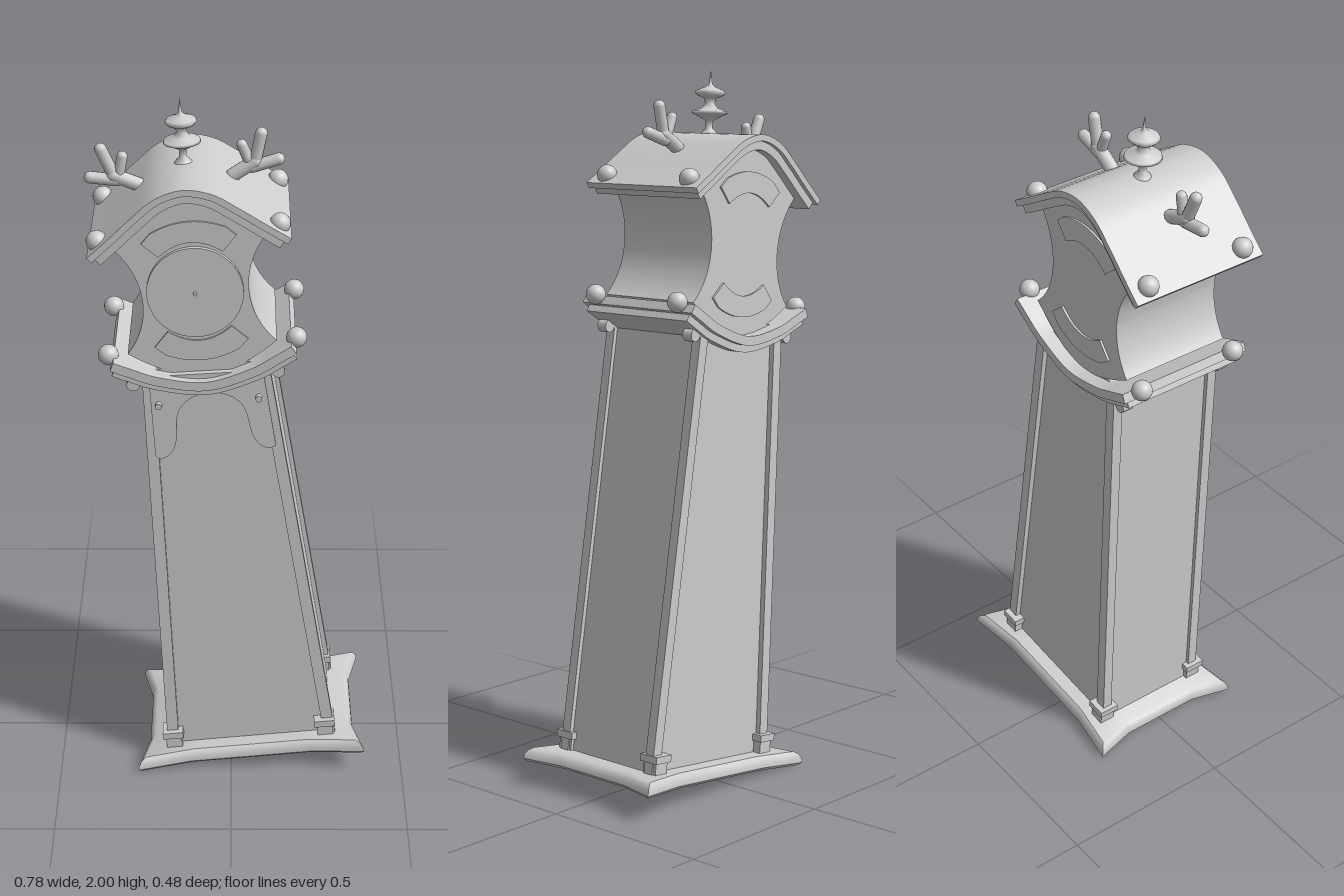
import * as THREE from 'three';
import { toCreasedNormals } from 'three/addons/utils/BufferGeometryUtils.js';

const grey = new THREE.MeshStandardMaterial({ color: 0xcccccc });
grey.name = 'plain grey';
const TILT = 0.105;

function add(parent, name, geometry, x = 0, y = 0, z = 0) {
  const mesh = new THREE.Mesh(geometry, grey);
  mesh.name = name;
  mesh.position.set(x, y, z);
  parent.add(mesh);
  return mesh;
}

// Flat outline extruded between two depths
function slab(parent, name, shape, z0, z1) {
  const geo = new THREE.ExtrudeGeometry(shape, { depth: z1 - z0, bevelEnabled: false, curveSegments: 24 });
  return add(parent, name, toCreasedNormals(geo, 0.5), 0, 0, z0);
}

const polygon = (pts) => new THREE.Shape(pts.map(([x, y]) => new THREE.Vector2(x, y)));

// Left half of a symmetrical curve, completed by mirroring and sampled smoothly
function mirroredCurve(half, n = 40) {
  const right = half.slice(0, -1).reverse().map(([x, y]) => [-x, y]);
  return new THREE.SplineCurve([...half, ...right].map(([x, y]) => new THREE.Vector2(x, y))).getPoints(n);
}

// Band lying between two offsets below a curve
function band(curve, a, b) {
  const offset = (d) => curve.map((p, i) => {
    const t = curve[Math.min(i + 1, curve.length - 1)].clone().sub(curve[Math.max(i - 1, 0)]).normalize();
    return new THREE.Vector2(p.x + t.y * d, p.y - t.x * d);
  });
  return new THREE.Shape([...offset(a), ...offset(b).reverse()]);
}

// Rounded bar between two points in the xy plane
function bar(parent, name, [x0, y0], [x1, y1], r) {
  const m = add(parent, name, new THREE.CapsuleGeometry(r, Math.hypot(x1 - x0, y1 - y0), 5, 12),
    (x0 + x1) / 2, (y0 + y1) / 2, 0);
  m.rotation.z = Math.atan2(y1 - y0, x1 - x0) - Math.PI / 2;
}

// Flared plinth with pointed corners and a hollow underside
function plinthGeometry() {
  const q = [[0.302, 0.12], [0.332, 0.24], [0.18, 0.217]];
  const loop = [
    ...q,
    ...q.map(([x, z]) => [-x, z]).reverse(),
    ...q.map(([x, z]) => [-x, -z]),
    ...q.map(([x, z]) => [x, -z]).reverse(),
  ];
  const layers = [[0, 0.012], [0.78, 0.012], [0.84, 0], [0.97, 0], [1, 0.008], [0.995, 0.02],
    [0.97, 0.033], [0.93, 0.04], [0, 0.042]];
  const pos = [], idx = [], n = loop.length;
  for (const [s, y] of layers) for (const [x, z] of loop) pos.push(x * s, y, -z * s);
  for (let l = 0; l < layers.length - 1; l++) {
    for (let i = 0; i < n; i++) {
      const a = l * n + i, b = l * n + (i + 1) % n;
      if (l > 0) idx.push(a, b, b + n);
      if (l === 0) idx.push(a, b + n, a + n);
      else if (l < layers.length - 2) idx.push(a, b + n, a + n);
    }
  }
  const geo = new THREE.BufferGeometry();
  geo.setAttribute('position', new THREE.Float32BufferAttribute(pos, 3));
  geo.setIndex(idx);
  return toCreasedNormals(geo, 0.6);
}

export function createModel() {
  const model = new THREE.Group();
  model.name = 'crookedClock';

  const plinth = add(model, 'plinth', plinthGeometry(), 0.06, 0.037, 0);
  plinth.rotation.z = TILT;

  // Crooked trunk with inset panels
  slab(model, 'trunk', polygon([[-0.176, 0.05], [0.292, 0.1], [0.088, 1.32], [-0.228, 1.29]]), -0.16, 0.16);

  // Corner posts and their stepped feet
  const posts = [
    [[-0.187, 0.06], [-0.154, 0.06], [-0.208, 1.28], [-0.24, 1.28]],
    [[0.272, 0.1], [0.306, 0.1], [0.102, 1.31], [0.07, 1.31]],
  ];
  const feet = [[-0.169, 0.08], [0.275, 0.125]];
  for (const side of [-1, 1]) {
    for (const p of posts) {
      const z = side * 0.1605;
      slab(model, 'cornerPost', polygon(p), z - 0.0145, z + 0.0145);
    }
    for (const [x, y] of feet) {
      const foot = new THREE.Group();
      foot.name = 'postFoot';
      foot.position.set(x, y, side * 0.162);
      foot.rotation.z = TILT;
      add(foot, 'footBlock', new THREE.BoxGeometry(0.046, 0.05, 0.046), 0, -0.008, 0);
      add(foot, 'footCap', new THREE.BoxGeometry(0.06, 0.02, 0.06), 0, 0.018, 0);
      model.add(foot);
    }
  }

  // Scalloped apron with two buttons on the front of the trunk
  const apron = new THREE.Shape();
  apron.moveTo(-0.222, 1.28);
  apron.lineTo(-0.207, 1.04);
  apron.quadraticCurveTo(-0.2, 1.02, -0.175, 1.035);
  apron.bezierCurveTo(-0.13, 1.07, -0.16, 1.14, -0.14, 1.18);
  apron.bezierCurveTo(-0.11, 1.245, 0.0, 1.25, 0.033, 1.19);
  apron.bezierCurveTo(0.055, 1.15, 0.045, 1.07, 0.105, 1.062);
  apron.lineTo(0.122, 1.07);
  apron.lineTo(0.085, 1.3);
  slab(model, 'apron', apron, 0.155, 0.18);
  for (const [x, y] of [[-0.196, 1.196], [0.074, 1.22]]) {
    add(model, 'apronButton', new THREE.CylinderGeometry(0.009, 0.009, 0.02, 14), x, y, 0.185).rotation.x = Math.PI / 2;
  }

  // Leaning head
  const head = new THREE.Group();
  head.name = 'head';
  head.position.set(-0.095, 1.524, 0);
  head.rotation.z = TILT;
  model.add(head);

  const roof = mirroredCurve([[-0.267, 0.14], [-0.21, 0.183], [-0.14, 0.238], [-0.075, 0.283], [0, 0.302]]);
  slab(head, 'roof', band(roof, 0, 0.018), -0.203, 0.203);
  slab(head, 'roofMoulding', band(roof.slice(1, -1), 0.016, 0.042), -0.19, 0.19);

  const sill = mirroredCurve([[-0.238, -0.168], [-0.19, -0.192], [-0.12, -0.224], [0, -0.25]]);
  slab(head, 'sill', band(sill, 0, 0.026), -0.203, 0.203);
  slab(head, 'sillMoulding', band(sill.slice(2, -2), 0.024, 0.046), -0.187, 0.187);

  // Waisted clock case
  const caseShape = new THREE.Shape();
  caseShape.moveTo(-0.212, 0.152);
  caseShape.bezierCurveTo(-0.12, 0.06, -0.12, -0.08, -0.2, -0.165);
  caseShape.quadraticCurveTo(-0.1, -0.24, 0, -0.26);
  caseShape.quadraticCurveTo(0.1, -0.24, 0.2, -0.165);
  caseShape.bezierCurveTo(0.12, -0.08, 0.12, 0.06, 0.212, 0.152);
  caseShape.lineTo(0.135, 0.215);
  caseShape.quadraticCurveTo(0.06, 0.275, 0, 0.275);
  caseShape.quadraticCurveTo(-0.06, 0.275, -0.135, 0.215);
  slab(head, 'clockCase', caseShape, -0.162, 0.162);

  // Spandrel panels above and below the dial, front and back
  for (const s of [1, -1]) {
    const panel = new THREE.Shape();
    panel.moveTo(-0.085, s * 0.108);
    panel.lineTo(-0.125, s * 0.15);
    panel.lineTo(-0.1, s * 0.175);
    panel.quadraticCurveTo(0, s * 0.225, 0.1, s * 0.175);
    panel.lineTo(0.125, s * 0.15);
    panel.lineTo(0.085, s * 0.108);
    panel.quadraticCurveTo(0, s * 0.175, -0.085, s * 0.108);
    slab(head, 'frontSpandrel', panel, 0.16, 0.168);
    slab(head, 'backSpandrel', panel, -0.168, -0.16);
  }

  // Dial and its centre pin
  add(head, 'dial', new THREE.CylinderGeometry(0.128, 0.128, 0.014, 48), 0, 0, 0.167).rotation.x = Math.PI / 2;
  add(head, 'dialPin', new THREE.CylinderGeometry(0.005, 0.005, 0.012, 12), 0, 0, 0.177).rotation.x = Math.PI / 2;

  for (const s of [-1, 1]) {
    for (const z of [-0.152, 0.152]) {
      // Ball ornaments on roof and sill
      add(head, 'roofBall', new THREE.SphereGeometry(0.028, 20, 14), s * 0.24, 0.165, z);
      add(head, 'sillBall', new THREE.SphereGeometry(0.028, 20, 14), s * 0.253, -0.166, z);
      // Scrolled brackets under the sill
      add(head, 'bracketScroll', new THREE.CylinderGeometry(0.018, 0.018, 0.032, 18), s * 0.196, -0.252, z * 1.05)
        .rotation.x = Math.PI / 2;
      add(head, 'bracketArm', new THREE.BoxGeometry(0.05, 0.036, 0.032), s * 0.175, -0.237, z * 1.05);
    }
    // Branching antlers
    const fork = [s * 0.188, 0.283];
    bar(head, 'antlerStem', [s * 0.125, 0.25], fork, 0.019);
    bar(head, 'antlerMiddleProng', fork, [s * 0.212, 0.358], 0.0165);
    bar(head, 'antlerOuterProng', [s * 0.18, 0.268], [s * 0.25, 0.283], 0.0165);
    bar(head, 'antlerInnerProng', [s * 0.175, 0.275], [s * 0.158, 0.332], 0.0145);
  }

  // Turned finial with two discs and a spike
  const profile = [[0.026, 0], [0.022, 0.01], [0.01, 0.022], [0.01, 0.042], [0.03, 0.054], [0.05, 0.063],
    [0.048, 0.07], [0.022, 0.078], [0.014, 0.09], [0.016, 0.104], [0.036, 0.112], [0.043, 0.12],
    [0.038, 0.127], [0.014, 0.136], [0.005, 0.144], [0.003, 0.16], [0, 0.184]];
  const finial = add(model, 'finial',
    new THREE.LatheGeometry(profile.map(([x, y]) => new THREE.Vector2(x, y)), 28), -0.126, 1.816, 0);
  finial.rotation.z = 0.05;

  return model;
}
